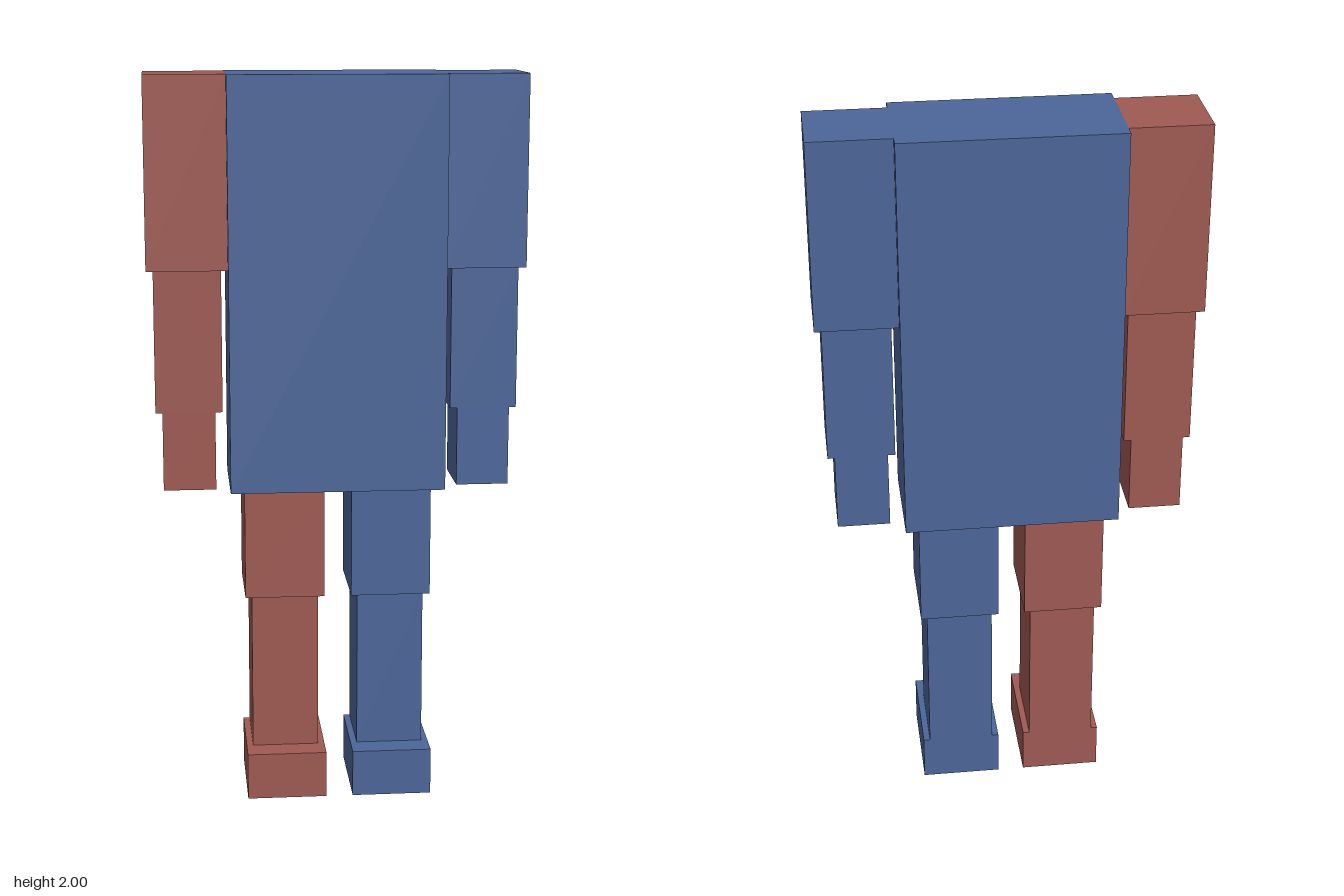
import * as THREE from 'three';

const blue = new THREE.MeshStandardMaterial({ color: 0x4c6699 });
blue.name = 'blue';
const red = new THREE.MeshStandardMaterial({ color: 0x9f5a53 });
red.name = 'red';

// Box spanning the given ranges on each axis
function block(name, material, [x0, x1], [y0, y1], [z0, z1]) {
  const mesh = new THREE.Mesh(new THREE.BoxGeometry(x1 - x0, y1 - y0, z1 - z0), material);
  mesh.position.set((x0 + x1) / 2, (y0 + y1) / 2, (z0 + z1) / 2);
  mesh.name = name;
  return mesh;
}

// Limb segments on the +x side: name, x range, y range, z range
const arm = [
  ['UpperArm', [0.294, 0.515], [1.48, 2], [-0.13, 0.092]],
  ['Forearm', [0.313, 0.496], [1.09, 1.48], [-0.11, 0.074]],
  ['Hand', [0.333, 0.477], [0.873, 1.09], [-0.11, 0.074]],
];
const leg = [
  ['Thigh', [0.037, 0.257], [0.57, 0.873], [-0.145, 0.11]],
  ['Shin', [0.055, 0.239], [0.13, 0.57], [-0.13, 0.092]],
  ['Foot', [0.037, 0.257], [0, 0.13], [-0.13, 0.165]],
];

function limb(name, segments, side, material) {
  const group = new THREE.Group();
  const prefix = side > 0 ? 'left' : 'right';
  group.name = prefix + name;
  for (const [part, x, y, z] of segments) {
    const range = side > 0 ? x : [-x[1], -x[0]];
    group.add(block(prefix + part, material, range, y, z));
  }
  return group;
}

export function createModel() {
  const model = new THREE.Group();
  model.name = 'headlessBlockFigure';
  model.add(block('torso', blue, [-0.295, 0.294], [0.873, 2], [-0.165, 0.13]));
  // Left limbs are blue, right limbs are red
  for (const [side, material] of [[1, blue], [-1, red]]) {
    model.add(limb('Arm', arm, side, material));
    model.add(limb('Leg', leg, side, material));
  }
  return model;
}
